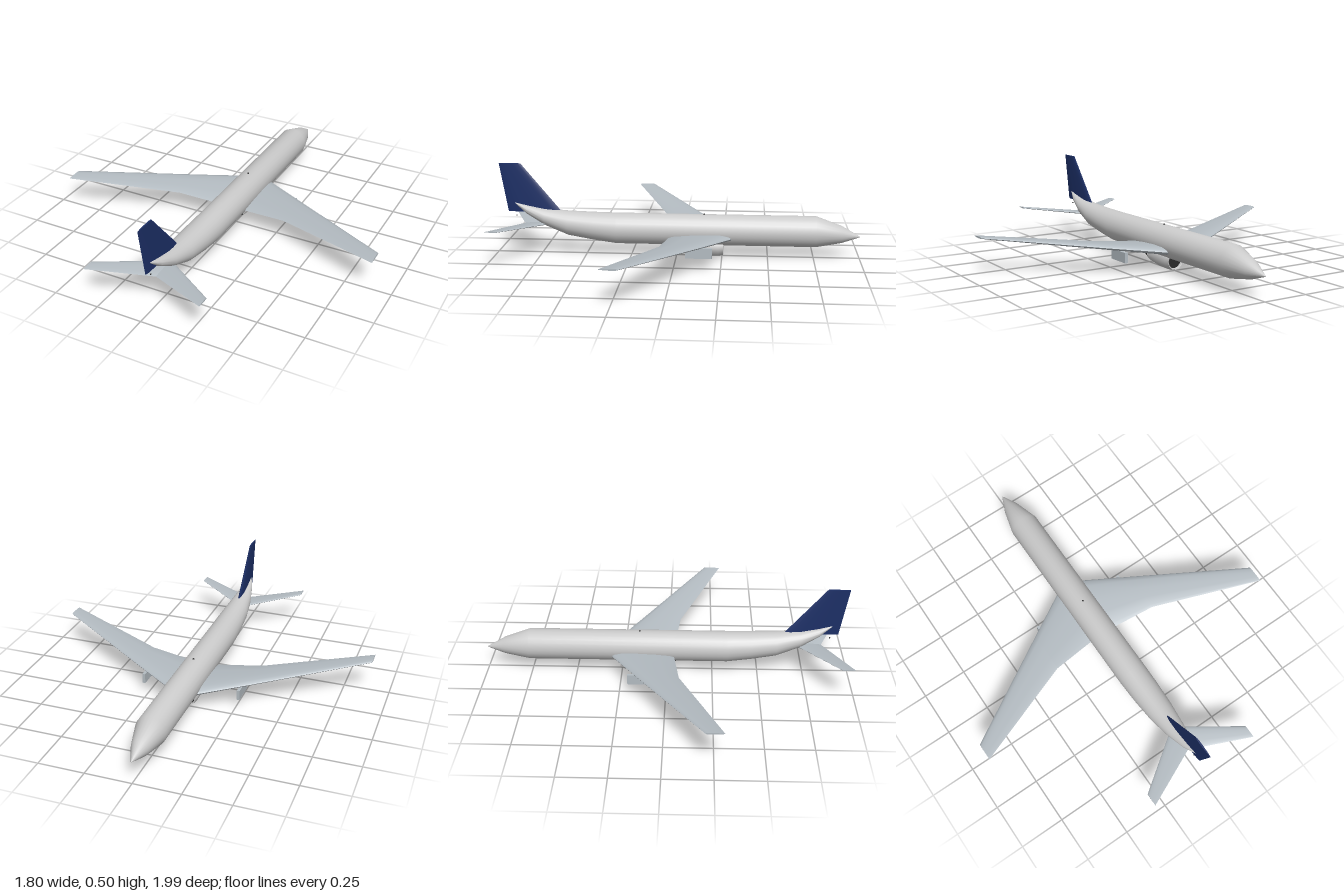
import * as THREE from 'three';
import { toCreasedNormals } from 'three/addons/utils/BufferGeometryUtils.js';

const white = new THREE.MeshStandardMaterial({ color: 0xdcdcdc });
const wingGrey = new THREE.MeshStandardMaterial({ color: 0xb4bcc2 });
const navy = new THREE.MeshStandardMaterial({ color: 0x1c2f66 });
const dark = new THREE.MeshStandardMaterial({ color: 0x2a2a2a });

// Skin a row of equal-sized rings, cap both ends, and face it outwards.
function loft(rings, crease = 0.7) {
  const n = rings[0].length;
  const tris = [];
  for (let i = 0; i < rings.length - 1; i++) {
    for (let j = 0; j < n; j++) {
      const k = (j + 1) % n;
      const [a, b, c, d] = [rings[i][j], rings[i][k], rings[i + 1][k], rings[i + 1][j]];
      tris.push([a, b, c], [a, c, d]);
    }
  }
  const first = rings[0], last = rings[rings.length - 1];
  for (let j = 1; j < n - 1; j++) {
    tris.push([first[0], first[j + 1], first[j]], [last[0], last[j], last[j + 1]]);
  }
  let volume = 0;
  const cross = new THREE.Vector3();
  for (const [a, b, c] of tris) volume += a.dot(cross.crossVectors(b, c));
  if (volume < 0) tris.forEach((t) => t.reverse());
  const geometry = new THREE.BufferGeometry().setFromPoints(tris.flat());
  geometry.computeVertexNormals();
  return toCreasedNormals(geometry, crease);
}

// Oval ring across the body: z, bottom y, top y, half width.
function oval([z, bottom, top, halfWidth], sides = 24) {
  return Array.from({ length: sides }, (_, i) => {
    const a = (i / sides) * Math.PI * 2;
    return new THREE.Vector3(
      Math.cos(a) * halfWidth,
      (top + bottom) / 2 + (Math.sin(a) * (top - bottom)) / 2,
      z
    );
  });
}

// Aerofoil as [chord fraction, thickness fraction].
const foil = [
  [0, 0], [0.03, 0.25], [0.15, 0.48], [0.4, 0.5], [0.7, 0.38], [0.93, 0.2],
  [1, 0], [0.93, -0.15], [0.6, -0.4], [0.3, -0.5], [0.1, -0.4], [0.02, -0.2]
];

// Station of a flying surface: span, height, leading z, trailing z, thickness.
function foilRing([span, y, lead, trail, thick], side) {
  return foil.map(([c, t]) => new THREE.Vector3(
    side * span, y + t * thick, lead + (trail - lead) * c
  ));
}

function add(group, name, geometry, material) {
  const mesh = new THREE.Mesh(geometry, material);
  mesh.name = name;
  group.add(mesh);
  return mesh;
}

export function createModel() {
  const plane = new THREE.Group();
  plane.name = 'airliner';

  // Fuselage, nose towards -z
  const body = [
    [-1, 0.123, 0.127, 0.002],
    [-0.9, 0.09, 0.184, 0.045],
    [-0.76, 0.065, 0.235, 0.082],
    [0.33, 0.065, 0.235, 0.082],
    [0.46, 0.083, 0.237, 0.079],
    [0.6, 0.107, 0.242, 0.07],
    [0.73, 0.16, 0.253, 0.052],
    [0.83, 0.222, 0.272, 0.03],
    [0.9, 0.282, 0.288, 0.004]
  ];
  add(plane, 'fuselage', loft(body.map((s) => oval(s)), 0.6), white);

  // Wings, tailplanes and engine pylons, mirrored
  const wing = [
    [0.03, 0.114, -0.33, 0.035, 0.045],
    [0.32, 0.14, -0.153, 0.07, 0.027],
    [0.9, 0.197, 0.205, 0.3, 0.01]
  ];
  const tailplane = [
    [0.0, 0.168, 0.695, 0.845, 0.014],
    [0.32, 0.2, 0.92, 0.99, 0.007]
  ];
  for (const side of [1, -1]) {
    const label = side > 0 ? 'left' : 'right';
    add(plane, label + 'Wing', loft(wing.map((s) => foilRing(s, side))), wingGrey);
    add(plane, label + 'Tailplane', loft(tailplane.map((s) => foilRing(s, side))), wingGrey);
    add(plane, label + 'Pylon', new THREE.BoxGeometry(0.016, 0.055, 0.14), wingGrey)
      .position.set(side * 0.27, 0.094, -0.134);
  }

  // Fin: height, leading z, trailing z, thickness
  const fin = [
    [0.235, 0.635, 0.935, 0.02],
    [0.505, 0.86, 0.98, 0.009]
  ];
  add(plane, 'fin', loft(fin.map(([y, lead, trail, thick]) => foil.map(([c, t]) =>
    new THREE.Vector3(t * thick, y, lead + (trail - lead) * c)))), navy);

  // Engine under the belly: hollow nacelle and dark exhaust cone
  const shell = [
    [0.03, -0.15], [0.042, -0.256], [0.047, -0.258], [0.052, -0.23],
    [0.05, -0.14], [0.034, -0.03], [0.028, -0.03]
  ].map(([r, z]) => new THREE.Vector2(r, z));
  const nacelle = new THREE.LatheGeometry(shell, 12);
  nacelle.rotateX(Math.PI / 2);
  const shellMaterial = white.clone();
  shellMaterial.side = THREE.DoubleSide;
  const engine = new THREE.Group();
  engine.name = 'engine';
  engine.position.y = 0.055;
  plane.add(engine);
  add(engine, 'nacelle', toCreasedNormals(nacelle, 0.7), shellMaterial);
  add(engine, 'intakeFan', new THREE.CylinderGeometry(0.041, 0.041, 0.02, 12), dark)
    .position.z = -0.235;
  engine.children[1].rotation.x = Math.PI / 2;
  const exhaust = add(engine, 'exhaustCone', new THREE.CylinderGeometry(0.004, 0.033, 0.085, 12), dark);
  exhaust.rotation.x = Math.PI / 2;
  exhaust.position.z = 0.008;

  // Small beacon on the spine and tail light
  add(plane, 'beacon', new THREE.SphereGeometry(0.005, 8, 6), dark).position.set(0, 0.237, -0.15);
  add(plane, 'tailLight', new THREE.SphereGeometry(0.004, 8, 6), dark).position.set(0, 0.212, 0.89);

  return plane;
}
